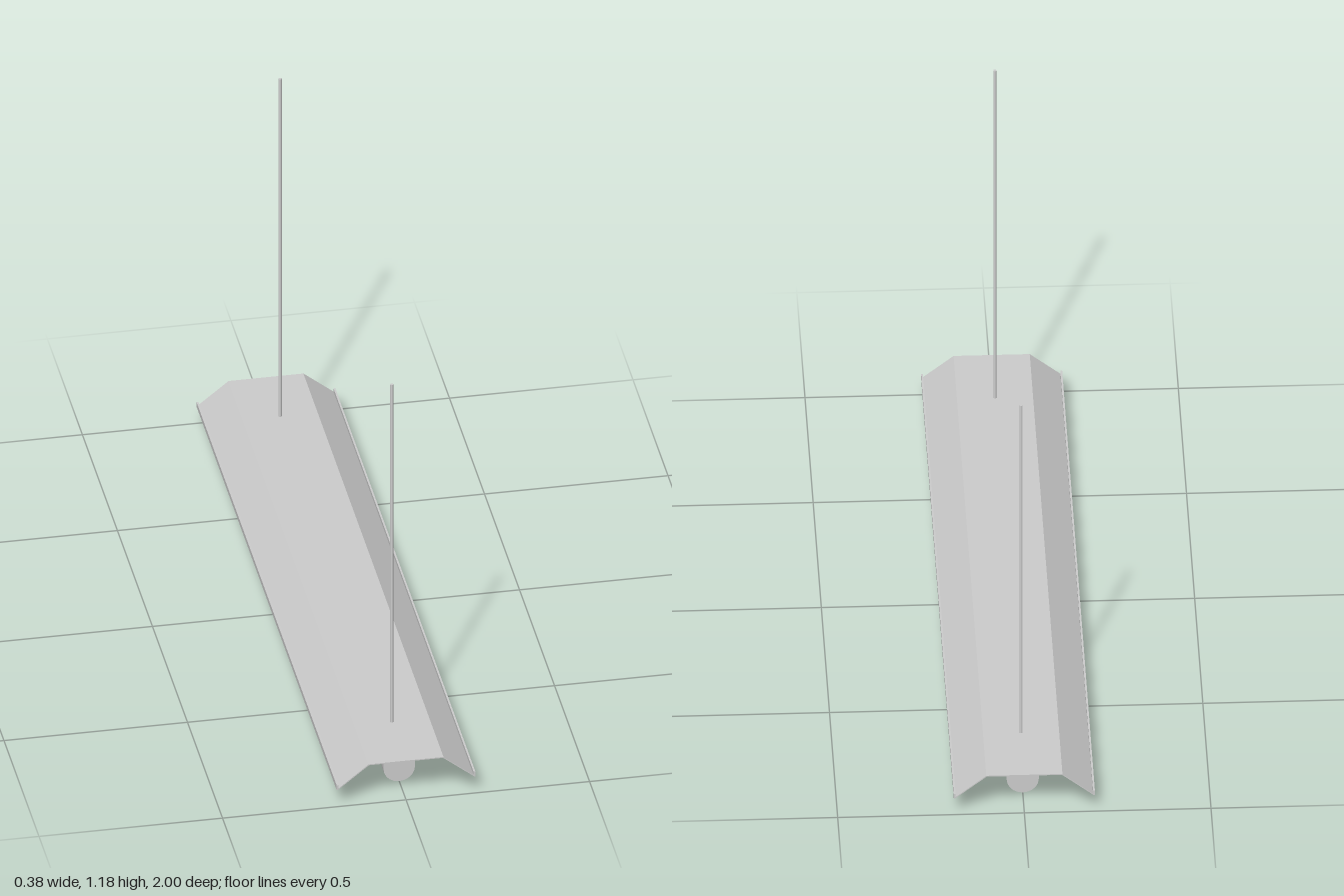
import * as THREE from 'three';

const material = new THREE.MeshStandardMaterial({ color: 0xcccccc, flatShading: true });

function addMesh(parent, name, geometry, x = 0, y = 0, z = 0) {
  const mesh = new THREE.Mesh(geometry, material);
  mesh.name = name;
  mesh.position.set(x, y, z);
  parent.add(mesh);
  return mesh;
}

// Extrude a flat x-y shape along z, centred on z = 0
function extrudeCentred(shape, depth, curveSegments = 1) {
  return new THREE.ExtrudeGeometry(shape, { depth, bevelEnabled: false, curveSegments })
    .translate(0, 0, -depth / 2);
}

// Folded sheet reflector: flat top, sloping wings, upturned lips
function reflectorShape() {
  const upper = [[0.102, 0.121], [0.184, 0.055], [0.184, 0.065], [0.189, 0.065], [0.189, 0.05]];
  const lower = [[0.186, 0.05], [0.101, 0.118]];
  const half = [...upper, ...lower].map(([x, y]) => new THREE.Vector2(x, y));
  const mirrored = half.map((p) => new THREE.Vector2(-p.x, p.y)).reverse();
  return new THREE.Shape([...half, ...mirrored]);
}

// Lamp holder: straight sides with a faceted round bottom
function holderShape(r, top) {
  const shape = new THREE.Shape();
  shape.moveTo(r, top);
  shape.lineTo(-r, top);
  shape.lineTo(-r, r);
  shape.absarc(0, r, r, Math.PI, Math.PI * 2, false);
  shape.closePath();
  return shape;
}

export function createModel() {
  const group = new THREE.Group();
  group.name = 'pendantTubeLight';

  addMesh(group, 'reflector', extrudeCentred(reflectorShape(), 2));

  // Horizontal lamp tube, flat side down
  const radius = 0.043;
  const tube = new THREE.CylinderGeometry(0.036, 0.036, 1.74, 10)
    .rotateY(Math.PI / 2)
    .rotateX(Math.PI / 2);
  addMesh(group, 'lampTube', tube, 0, radius - 0.001, 0);

  // Holders and hanging rods at both ends
  const holder = extrudeCentred(holderShape(radius, 0.119), 0.035, 5).translate(0, -0.002, 0);
  const rod = new THREE.CylinderGeometry(0.0045, 0.0045, 1.06, 8);
  for (const [side, s] of [['front', 1], ['back', -1]]) {
    addMesh(group, side + 'LampHolder', holder, 0, 0, s * 0.885);
    addMesh(group, side + 'HangingRod', rod, 0, 0.65, s * 0.797);
  }
  return group;
}
